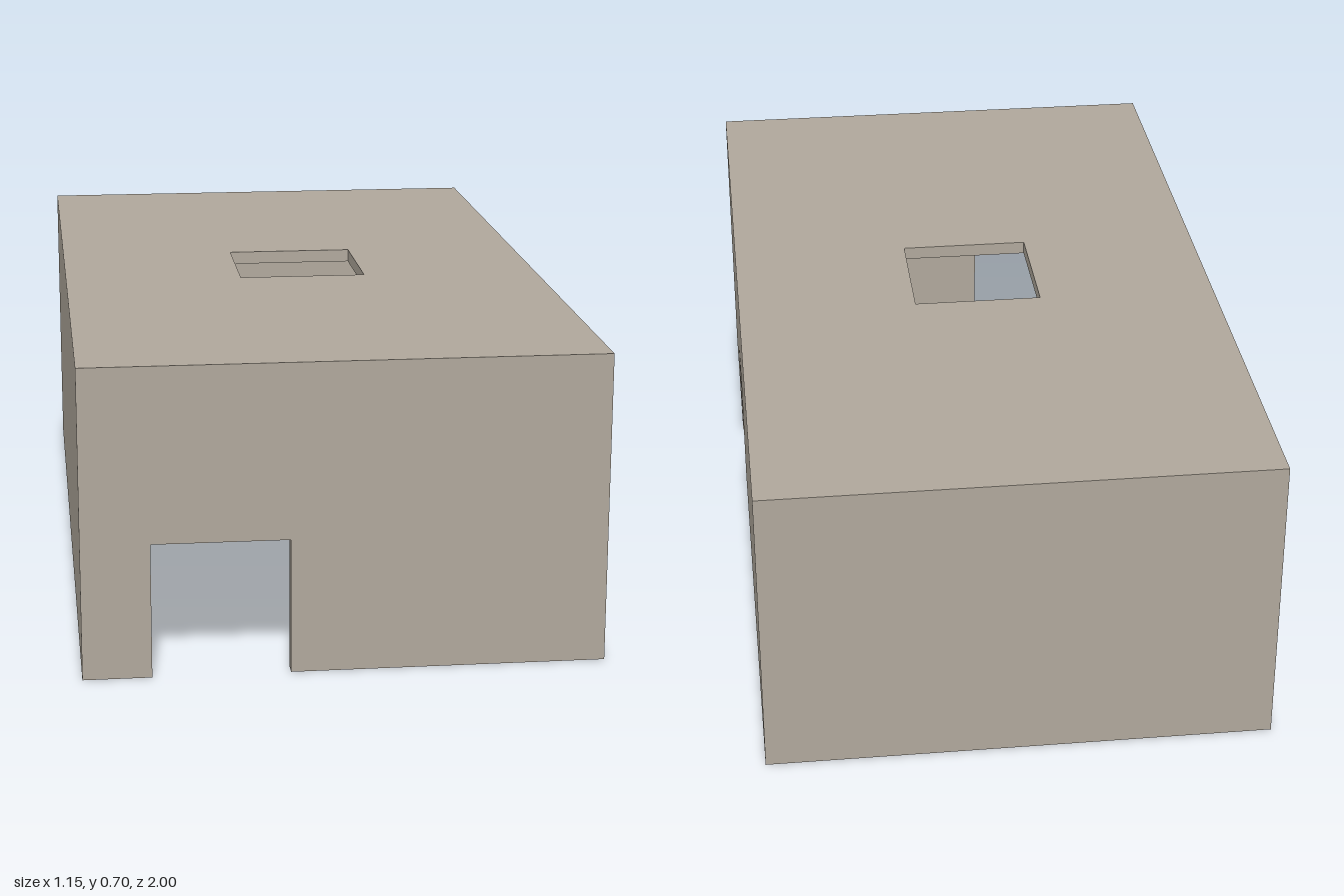
import * as THREE from 'three';

const U = 1 / 33; // one module = wall thickness
const W = 38 * U, L = 66 * U, H = 23 * U, T = U;

// Outline of a rectangle
function rect(target, x0, y0, x1, y1) {
  target.moveTo(x0, y0);
  target.lineTo(x1, y0);
  target.lineTo(x1, y1);
  target.lineTo(x0, y1);
  target.closePath();
  return target;
}

// Wall outline with an optional doorway cut up from the bottom edge
function wallShape(width, door) {
  const s = new THREE.Shape();
  s.moveTo(-width / 2, 0);
  if (door) {
    s.lineTo(door.from, 0);
    s.lineTo(door.from, door.height);
    s.lineTo(door.to, door.height);
    s.lineTo(door.to, 0);
  }
  s.lineTo(width / 2, 0);
  s.lineTo(width / 2, H);
  s.lineTo(-width / 2, H);
  s.closePath();
  return s;
}

// Panel with its outer face at z = 0; the inner face is pulled in so edges are mitred
function panel(shape, halfWidth, minY, maxY) {
  const g = new THREE.ExtrudeGeometry(shape, { depth: T, bevelEnabled: false });
  g.translate(0, 0, -T);
  const p = g.attributes.position;
  for (let i = 0; i < p.count; i++) {
    if (p.getZ(i) > -T / 2) continue;
    p.setX(i, THREE.MathUtils.clamp(p.getX(i), -halfWidth + T, halfWidth - T));
    p.setY(i, THREE.MathUtils.clamp(p.getY(i), minY, maxY));
  }
  g.computeVertexNormals();
  return g;
}

export function createModel() {
  const group = new THREE.Group();
  group.name = 'openBottomBox';
  const stone = new THREE.MeshStandardMaterial({ color: 0xb0a89c });
  stone.name = 'warmGrey';

  // Four walls, two with doorways
  const walls = [
    { name: 'frontWall', width: W, turn: 0, pos: [0, 0, L / 2], door: { from: -14 * U, to: -4 * U, height: 10 * U } },
    { name: 'leftWall', width: L, turn: Math.PI / 2, pos: [W / 2, 0, 0], door: { from: -16 * U, to: -8 * U, height: 9 * U } },
    { name: 'backWall', width: W, turn: Math.PI, pos: [0, 0, -L / 2] },
    { name: 'rightWall', width: L, turn: -Math.PI / 2, pos: [-W / 2, 0, 0] },
  ];
  for (const w of walls) {
    const mesh = new THREE.Mesh(panel(wallShape(w.width, w.door), w.width / 2, 0, H - T), stone);
    mesh.name = w.name;
    mesh.rotation.y = w.turn;
    mesh.position.set(...w.pos);
    group.add(mesh);
  }

  // Roof with a square opening in the middle
  const roofShape = rect(new THREE.Shape(), -W / 2, -L / 2, W / 2, L / 2);
  roofShape.holes.push(rect(new THREE.Path(), -5 * U, -5 * U, 5 * U, 5 * U));
  const roof = new THREE.Mesh(panel(roofShape, W / 2, -L / 2 + T, L / 2 - T), stone);
  roof.name = 'roof';
  roof.rotation.x = -Math.PI / 2;
  roof.position.y = H;
  group.add(roof);

  return group;
}
